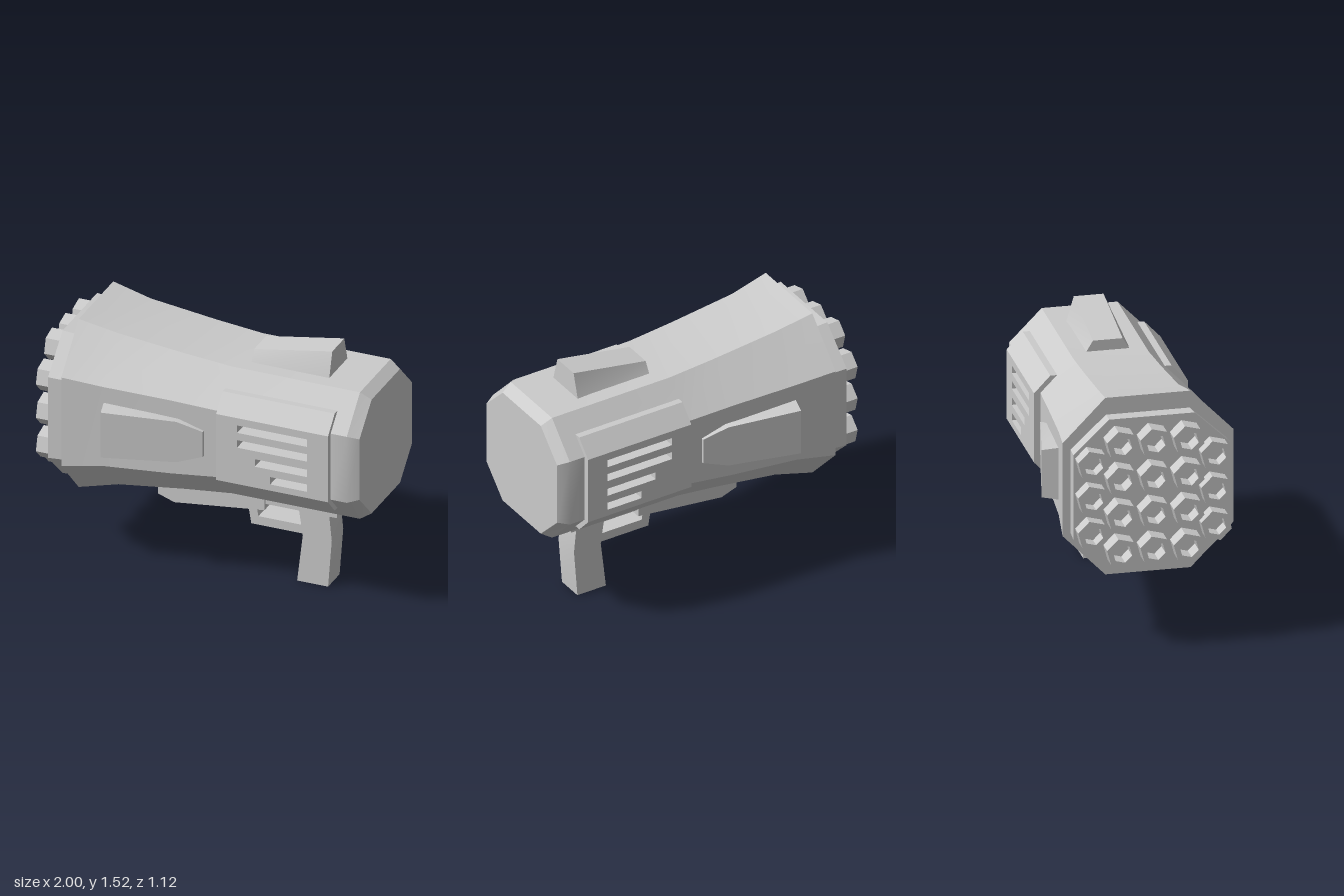
import * as THREE from 'three';
import { toCreasedNormals } from 'three/addons/utils/BufferGeometryUtils.js';

const material = new THREE.MeshStandardMaterial({ color: 0xcccccc });

function addMesh(parent, name, geometry) {
  const mesh = new THREE.Mesh(toCreasedNormals(geometry, 0.5), material);
  mesh.name = name;
  parent.add(mesh);
  return mesh;
}

// Skins rings of [x, y, z] points (counter-clockwise about the travel direction) and caps both ends.
function loft(rings, skip = () => false) {
  const n = rings[0].length;
  const index = [];
  for (let r = 0; r < rings.length - 1; r++) {
    for (let i = 0; i < n; i++) {
      if (skip(r, i)) continue;
      const j = (i + 1) % n;
      const a = r * n + i, b = r * n + j, c = a + n, d = b + n;
      index.push(a, b, c, b, d, c);
    }
  }
  const last = (rings.length - 1) * n;
  for (let i = 1; i < n - 1; i++) {
    index.push(0, i + 1, i, last, last + i, last + i + 1);
  }
  const geometry = new THREE.BufferGeometry();
  geometry.setAttribute('position', new THREE.Float32BufferAttribute(rings.flat(2), 3));
  geometry.setIndex(index);
  return geometry.toNonIndexed();
}

// Octagon across x: centre height, half height, half width, and half lengths of the flats.
function octagon([x, cy, h, w, flatY, flatZ]) {
  return [
    [h, -flatZ], [h, flatZ], [flatY, w], [-flatY, w],
    [-h, flatZ], [-h, -flatZ], [-flatY, -w], [flatY, -w],
  ].map(([y, z]) => [x, cy + y, z]);
}

const toShape = (points) => new THREE.Shape(points.map(([x, y]) => new THREE.Vector2(x, y)));

// Side profile (x, y) extruded symmetrically across z.
function slab(shape, halfWidth) {
  const geometry = new THREE.ExtrudeGeometry(shape, { depth: 2 * halfWidth, bevelEnabled: false });
  return geometry.translate(0, 0, -halfWidth);
}

// Cross profile extruded along x from x0 to x1.
function beam(shape, x0, x1) {
  const geometry = new THREE.ExtrudeGeometry(shape, { depth: x1 - x0, bevelEnabled: false });
  return geometry.rotateY(Math.PI / 2).translate(x0, 0, 0);
}

const rect = (x0, y0, x1, y1) => [[x0, y0], [x1, y0], [x1, y1], [x0, y1]];

function hexagon(radius) {
  return Array.from({ length: 6 }, (_, i) => {
    const a = (i * Math.PI) / 3 + Math.PI / 12;
    return [radius * Math.cos(a), radius * Math.sin(a)];
  });
}

export function createModel() {
  const model = new THREE.Group();
  model.name = 'launcher';

  // Flared octagonal body; its side faces are left open where the vent block sits
  const stations = [
    [-0.8, 0.958, 0.542, 0.5, 0.285, 0.25],
    [-0.56, 0.962, 0.487, 0.467, 0.255, 0.232],
    [-0.15, 0.965, 0.437, 0.436, 0.235, 0.226],
    [0.14, 0.967, 0.409, 0.413, 0.213, 0.222],
    [0.835, 0.967, 0.408, 0.413, 0.213, 0.222],
    [0.935, 0.967, 0.408, 0.413, 0.213, 0.222],
    [1, 0.966, 0.367, 0.38, 0.195, 0.205],
  ];
  addMesh(model, 'body', loft(stations.map(octagon), (r, i) => r === 3 && (i === 2 || i === 6)));

  // Muzzle plate holding the barrels
  addMesh(model, 'muzzlePlate', loft([
    [-0.9, 0.945, 0.46, 0.46, 0.26, 0.25],
    [-0.78, 0.945, 0.45, 0.452, 0.255, 0.245],
  ].map(octagon)));

  // Hollow six-sided barrels in five columns
  const barrels = new THREE.Group();
  barrels.name = 'barrels';
  model.add(barrels);
  const barrelShape = toShape(hexagon(0.093));
  barrelShape.holes.push(toShape(hexagon(0.058)));
  for (const z of [-0.36, -0.195, 0, 0.195, 0.36]) {
    const outer = Math.abs(z) > 0.3;
    const rows = outer ? [-0.215, 0, 0.215] : [-0.33, -0.11, 0.11, 0.33];
    for (const row of rows) {
      const barrel = addMesh(barrels, 'barrel', beam(barrelShape, outer ? -0.98 : -1, -0.89));
      barrel.position.set(0, 0.945 + row, z);
    }
  }

  // Vent block with slots cut right through
  const vent = toShape(rect(0.14, 0.755, 0.835, 1.18));
  for (const [x, y] of [[0.27, 1.085], [0.27, 0.99], [0.38, 0.89], [0.475, 0.795]]) {
    vent.holes.push(toShape(rect(x, y, 0.705, y + 0.048)));
  }
  addMesh(model, 'ventBlock', slab(vent, 0.45));

  // Bevelled upper and lower edges of the vent panels
  for (const side of [-1, 1]) {
    for (const up of [-1, 1]) {
      const profile = [[0.3, 0.313], [0.355, 0.313], [0.45, 0.2125], [0.37, 0.2125]];
      const edge = toShape(profile.map(([z, y]) => [side * z, 0.9675 + up * y]));
      addMesh(model, 'ventPanelEdge', beam(edge, 0.14, 0.835));
    }
  }

  // Tapered side pods
  const podFace = [[-0.53, 0.145], [-0.53, -0.145], [-0.1, -0.13], [0.05, -0.08], [0.05, 0.08], [-0.1, 0.13]];
  const podBase = [[-0.57, 0.17], [-0.57, -0.17], [-0.1, -0.135], [0.052, -0.082], [0.052, 0.082], [-0.1, 0.135]];
  for (const side of [-1, 1]) {
    const base = podBase.map(([x, y]) => [x, 0.957 + y, side * 0.39]);
    const face = podFace.map(([x, y]) => [x, 0.957 + y, side * (0.56 - (x + 0.53) * 0.215)]);
    addMesh(model, side > 0 ? 'leftPod' : 'rightPod', loft(side > 0 ? [base, face] : [face, base]));
  }

  // Wedge-shaped sight on top
  const sightRing = (x, top) => [
    [x, top, -0.087], [x, top, 0.087], [x, 1.36, 0.135], [x, 1.36, -0.135],
  ];
  addMesh(model, 'sight', loft([sightRing(0.22, 1.44), sightRing(0.705, 1.525)]));

  // Underside: mounting rail, fore grip, trigger guard and handle
  addMesh(model, 'rail', slab(toShape(rect(0.2, 0.49, 0.76, 0.58)), 0.147));
  addMesh(model, 'foreGrip', slab(toShape([
    [-0.345, 0.56], [-0.345, 0.425], [-0.245, 0.39], [0.315, 0.455], [0.315, 0.58],
  ]), 0.16));
  addMesh(model, 'triggerGuard', slab(toShape([
    [0.175, 0.46], [0.2, 0.31], [0.54, 0.31], [0.54, 0.365], [0.245, 0.365], [0.225, 0.46],
  ]), 0.083));
  addMesh(model, 'handle', slab(toShape([
    [0.49, 0.5], [0.52, 0.3], [0.485, 0], [0.677, 0], [0.7, 0.3], [0.68, 0.5],
  ]), 0.083));

  return model;
}
